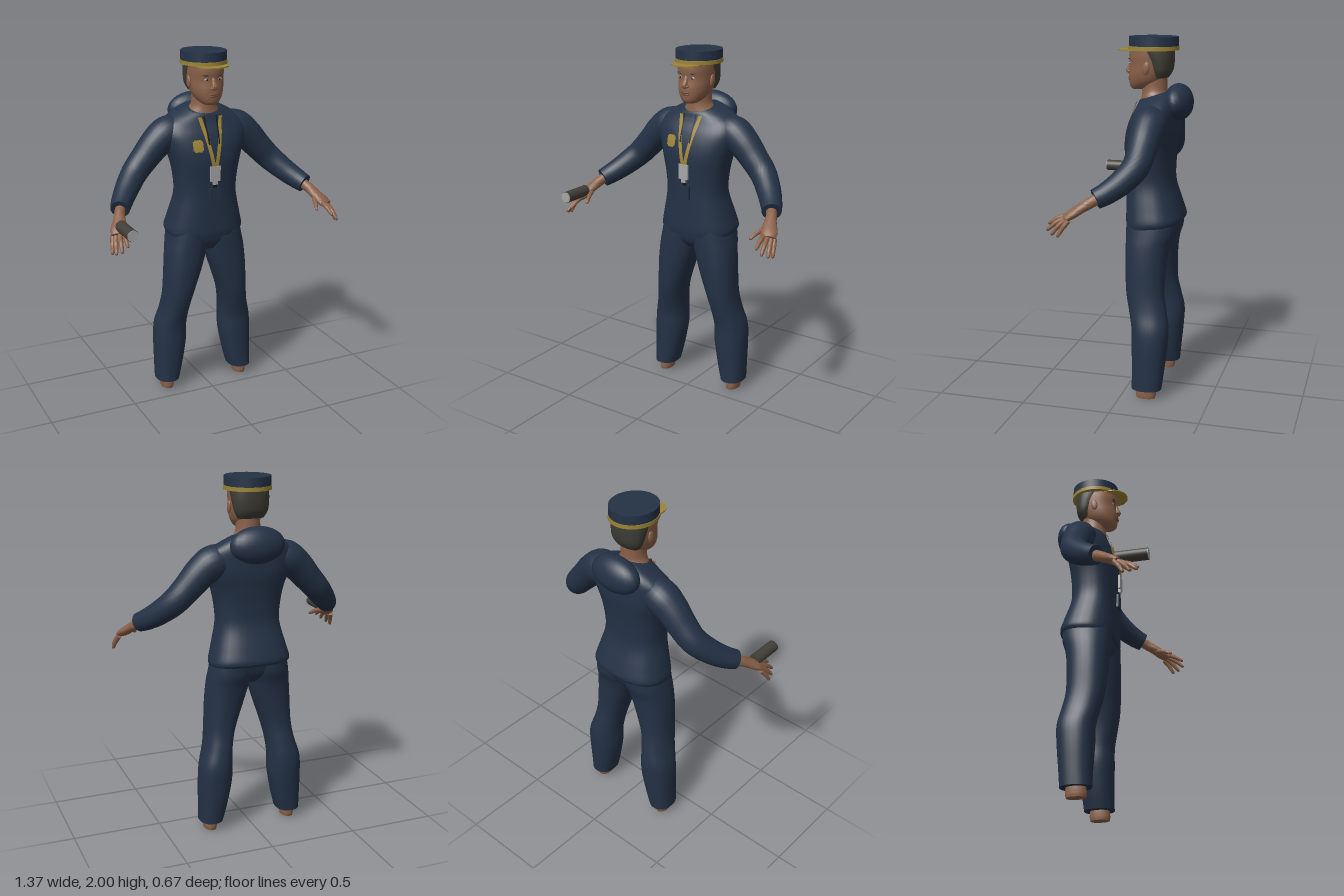
import * as THREE from 'three';
import { toCreasedNormals } from 'three/addons/utils/BufferGeometryUtils.js';

const mat = (name, color, side = THREE.FrontSide) => {
  const m = new THREE.MeshStandardMaterial({ color, side });
  m.name = name;
  return m;
};
const V = (x, y, z) => new THREE.Vector3(x, y, z);

// Smooth extra rows between the given ones (all rows equally long)
function smooth(rows, k = 5) {
  const out = [], at = i => rows[Math.min(rows.length - 1, Math.max(0, i))];
  for (let i = 0; i < rows.length - 1; i++) for (let s = 0; s < k; s++) {
    const t = s / k;
    out.push(rows[i].map((b, c) => {
      const a = at(i - 1)[c], d = at(i + 1)[c], e = at(i + 2)[c];
      return b + 0.5 * t * (d - a + t * (2 * a - 5 * b + 4 * d - e + t * (3 * (b - d) + e - a)));
    }));
  }
  out.push(rows[rows.length - 1]);
  return out;
}

// Skin over rings { c, u, v }, where u x v points along the path
function loft(rings, n = 2.3, sides = 32) {
  const pos = [], idx = [], R = rings.length;
  const sp = x => Math.sign(x) * Math.abs(x) ** (2 / n);
  for (const { c, u, v } of rings) for (let j = 0; j < sides; j++) {
    const a = j / sides * Math.PI * 2;
    pos.push(...c.clone().addScaledVector(u, sp(Math.cos(a))).addScaledVector(v, sp(Math.sin(a))).toArray());
  }
  pos.push(...rings[0].c.toArray(), ...rings[R - 1].c.toArray());
  for (let j = 0; j < sides; j++) {
    const k = (j + 1) % sides, top = (R - 1) * sides;
    for (let i = 0; i < R - 1; i++) {
      const a = i * sides + j, b = i * sides + k;
      idx.push(a, b, b + sides, a, b + sides, a + sides);
    }
    idx.push(R * sides, k, j, R * sides + 1, top + j, top + k);
  }
  const g = new THREE.BufferGeometry();
  g.setAttribute('position', new THREE.Float32BufferAttribute(pos, 3));
  g.setIndex(idx);
  return toCreasedNormals(g, 0.9);
}

// Upright body: rows of y, centre x, half width, front z, back z, backward rise
function upright(rows, n) {
  const full = rows.map(([y, cx, hw, zf, zb, rise = 0]) => [y, cx, hw, zf, zb, rise]);
  return loft(smooth(full).map(([y, cx, hw, zf, zb, rise]) => ({
    c: V(cx, y, (zf + zb) / 2), u: V(hw, 0, 0), v: V(0, rise, (zb - zf) / 2),
  })), n);
}

// Limb along a path: rows of x, y, z, radius across, radius thick
function limb(rows, k = 5, sides = 24) {
  const r = smooth(rows.map(([x, y, z, across, thick = across]) => [x, y, z, across, thick]), k);
  const p = r.map(a => V(a[0], a[1], a[2]));
  return loft(r.map((a, i) => {
    const d = p[Math.min(i + 1, p.length - 1)].clone().sub(p[Math.max(i - 1, 0)]).normalize();
    const u = V(0, 1, 0).addScaledVector(d, -d.y).normalize();
    const v = d.clone().cross(u);
    return { c: p[i], u: u.multiplyScalar(a[4]), v: v.multiplyScalar(a[3]) };
  }), 2, sides);
}

const TORSO = [
  [0.97, 0, 0.222, 0.015, -0.29, 0.015], [1.0, 0, 0.228, 0.02, -0.3, 0.01], [1.08, 0, 0.208, 0.02, -0.28, 0],
  [1.2, 0, 0.18, 0.02, -0.243, 0], [1.3, 0, 0.185, 0.024, -0.24, 0], [1.4, 0, 0.205, 0.03, -0.25, 0],
  [1.48, 0, 0.232, 0.02, -0.262, 0], [1.55, 0, 0.25, -0.002, -0.262, 0], [1.61, 0, 0.235, -0.028, -0.26, 0.01],
  [1.65, 0, 0.18, -0.04, -0.25, 0.02], [1.675, 0, 0.125, -0.045, -0.23, 0.025], [1.685, 0, 0.1, -0.05, -0.21, 0.025],
];
const HEAD = [
  [1.715, 0, 0.035, 0, -0.08], [1.73, 0, 0.055, 0.012, -0.12], [1.76, 0, 0.077, 0.017, -0.17],
  [1.8, 0, 0.09, 0.018, -0.2], [1.85, 0, 0.096, 0.012, -0.22], [1.9, 0, 0.099, 0.017, -0.225], [1.95, 0, 0.098, 0.01, -0.22],
];
// Front z of an upright body at x, y
function frontZ(rows, x, y, n) {
  const r = smooth(rows, 12);
  const i = Math.max(1, r.findIndex(a => a[0] >= y));
  const t = (y - r[i - 1][0]) / (r[i][0] - r[i - 1][0]);
  const [hw, zf, zb] = [2, 3, 4].map(c => THREE.MathUtils.lerp(r[i - 1][c], r[i][c], t));
  return (zf + zb) / 2 + (zf - zb) / 2 * (1 - Math.min(1, Math.abs(x / hw)) ** n) ** (1 / n);
}

export function createModel() {
  const model = new THREE.Group();
  const navy = mat('navy cloth', 0x243246), skin = mat('skin', 0x8a6149), gold = mat('gold', 0x9c8436, THREE.DoubleSide);
  const hairMat = mat('hair', 0x3d3c35), silver = mat('silver', 0xa6a6a6), black = mat('black', 0x15181d, THREE.DoubleSide);
  const lip = mat('lips', 0x70463a), torchMat = mat('torch body', 0x413f38);
  const add = (name, geo, m, x = 0, y = 0, z = 0) => {
    const o = new THREE.Mesh(geo, m);
    o.name = name;
    o.position.set(x, y, z);
    model.add(o);
    return o;
  };
  const ball = (name, m, x, y, z, a, b, c) => {
    const o = add(name, new THREE.SphereGeometry(1, 24, 16), m, x, y, z);
    o.scale.set(a, b, c);
    return o;
  };
  // Thin strip lying on the chest
  const strip = (name, m, x0, y0, x1, y1, w, lift = 0.006) => {
    const g = new THREE.PlaneGeometry(w, 1, 4, 14), p = g.attributes.position;
    for (let i = 0; i < p.count; i++) {
      const t = p.getY(i) + 0.5, x = p.getX(i) + x0 + (x1 - x0) * t, y = y0 + (y1 - y0) * t;
      p.setXYZ(i, x, y, frontZ(TORSO, x, y, 2.5) + lift);
    }
    g.computeVertexNormals();
    add(name, g, m);
  };

  // Jacket, hood and seat of the trousers
  add('jacket', upright(TORSO, 2.5), navy);
  ball('hood', navy, 0, 1.65, -0.262, 0.155, 0.1, 0.076).rotation.x = 0.15;
  add('trouserSeat', upright([[0.87, 0, 0.1, -0.04, -0.2], [0.92, 0, 0.19, -0.005, -0.25], [1.0, 0, 0.21, 0.008, -0.275]], 2.4), navy);

  // Neck, head and face
  add('neck', upright([[1.62, 0, 0.11, -0.05, -0.22, 0.02], [1.67, 0, 0.092, -0.05, -0.205, 0.02],
    [1.71, 0, 0.068, -0.055, -0.195], [1.8, 0, 0.066, -0.05, -0.195]], 2), skin);
  add('head', upright(HEAD, 2.2), skin);
  add('hair', upright([[1.78, 0, 0.074, -0.125, -0.2], [1.82, 0, 0.094, -0.11, -0.224],
    [1.88, 0, 0.103, -0.08, -0.232], [1.94, 0, 0.106, -0.035, -0.232]], 2.2), hairMat);
  add('noseBridge', limb([[0, 1.865, 0.006, 0.01], [0, 1.835, 0.017, 0.012], [0, 1.812, 0.025, 0.015], [0, 1.803, 0.03, 0.009]]), skin);
  ball('upperLip', lip, 0, 1.776, 0.016, 0.027, 0.006, 0.009);
  ball('lowerLip', lip, 0, 1.766, 0.014, 0.023, 0.006, 0.01);
  for (const s of [1, -1]) {
    const z = frontZ(HEAD, 0.038, 1.857, 2.2);
    ball('nostril', skin, 0.014 * s, 1.81, 0.02, 0.009, 0.008, 0.01);
    ball('eye', silver, 0.038 * s, 1.857, z - 0.002, 0.015, 0.007, 0.006);
    ball('pupil', black, 0.038 * s, 1.857, z + 0.003, 0.005, 0.006, 0.002);
    ball('eyebrow', hairMat, 0.04 * s, 1.88, z + 0.001, 0.021, 0.004, 0.006).rotation.z = 0.1 * s;
    ball('ear', skin, 0.099 * s, 1.835, -0.1, 0.01, 0.035, 0.02).rotation.x = -0.15;
  }

  // Peaked cap
  const round = (name, m, r, y0, y1) => {
    const o = add(name, new THREE.CylinderGeometry(r, r, y1 - y0, 48), m, 0, (y0 + y1) / 2, -0.118);
    o.scale.z = 1.08;
  };
  round('capCrown', navy, 0.126, 1.93, 2);
  round('capBand', gold, 0.129, 1.928, 1.95);
  const peak = new THREE.Shape([[-0.09, 0.06], [-0.086, -0.02], [-0.075, -0.045], [-0.04, -0.073], [0, -0.08],
    [0.04, -0.073], [0.075, -0.045], [0.086, -0.02], [0.09, 0.06]].map(p => new THREE.Vector2(...p)));
  add('capPeak', new THREE.ExtrudeGeometry(peak, { depth: 0.006, bevelEnabled: false }), gold, 0, 1.925, 0).rotation.x = -Math.PI / 2;

  // Lanyard, badges and pocket device
  for (const s of [1, -1]) {
    strip('lanyardStrap', gold, 0.006 * s, 1.37, 0.062 * s, 1.645, 0.022);
    strip('collarCord', black, 0.03 * s, 1.5, 0.037 * s, 1.65, 0.009, 0.009);
  }
  add('passCard', new THREE.BoxGeometry(0.06, 0.085, 0.012), silver, 0, 1.335, 0.034);
  add('cardClip', new THREE.BoxGeometry(0.028, 0.025, 0.014), silver, 0, 1.285, 0.032);
  add('pocketDevice', new THREE.BoxGeometry(0.064, 0.08, 0.02), navy, 0, 1.212, 0.022);
  strip('deviceCord', black, 0, 1.25, 0, 1.28, 0.025, 0.005);
  strip('chestBadge', gold, -0.095, 1.464, -0.095, 1.53, 0.042, 0.009);
  strip('chestBadgeMiddle', gold, -0.095, 1.472, -0.095, 1.522, 0.058, 0.008);

  // Arms, hands and legs, mirrored
  for (const s of [1, -1]) {
    const side = rows => rows.map(([x, ...rest]) => [x * s, ...rest]);
    add('sleeve', limb(side([[0.13, 1.565, -0.15, 0.08], [0.21, 1.55, -0.15, 0.095], [0.28, 1.5, -0.145, 0.088],
      [0.35, 1.425, -0.14, 0.079], [0.42, 1.35, -0.125, 0.073], [0.49, 1.28, -0.065, 0.066],
      [0.54, 1.235, -0.005, 0.059], [0.57, 1.21, 0.043, 0.053]])), navy);
    add('palm', limb(side([[0.555, 1.22, 0.02, 0.03], [0.582, 1.192, 0.066, 0.029], [0.6, 1.165, 0.11, 0.036, 0.026],
      [0.622, 1.135, 0.155, 0.044, 0.024], [0.635, 1.115, 0.185, 0.038, 0.018]])), skin);
    const fingers = [[0.608, 1.125, 0.185, 0.618, 1.078, 0.283], [0.63, 1.115, 0.19, 0.65, 1.05, 0.282],
      [0.648, 1.11, 0.18, 0.672, 1.033, 0.25], [0.657, 1.108, 0.16, 0.681, 1.025, 0.215], [0.59, 1.15, 0.12, 0.546, 1.105, 0.228]];
    for (const [a, b, c, d, e, f] of fingers)
      add('finger', limb(side([[a, b, c, 0.014], [(a + d) / 2, (b + e) / 2 + 0.006, (c + f) / 2, 0.0125],
        [d * 0.9 + a * 0.1, e * 0.9 + b * 0.1, f * 0.9 + c * 0.1, 0.009], [d, e, f, 0.004]]), 4, 12), skin);
    // Rows of y, outer x, inner x, front z, back z
    const leg = [[0.055, 0.305, 0.17, -0.06, -0.23], [0.15, 0.306, 0.145, -0.06, -0.24], [0.3, 0.306, 0.118, -0.055, -0.256],
      [0.4, 0.298, 0.117, -0.053, -0.26], [0.5, 0.27, 0.108, -0.032, -0.243], [0.6, 0.256, 0.085, -0.012, -0.226],
      [0.75, 0.248, 0.035, 0, -0.23], [0.86, 0.238, 0.002, 0.003, -0.245], [0.93, 0.226, -0.015, 0.005, -0.268], [1.0, 0.212, -0.02, 0.005, -0.275]];
    add('trouserLeg', upright(leg.map(([y, o, i, f, b]) => [y, s * (o + i) / 2, (o - i) / 2, f, b]), 2.3), navy);
    add('foot', upright([[0, s * 0.24, 0.034, -0.088, -0.195], [0.03, s * 0.24, 0.037, -0.085, -0.2],
      [0.1, s * 0.24, 0.035, -0.1, -0.19]], 2.2), skin);
  }

  // Torch in the right hand
  const tube = (name, m, r, z0, z1) => {
    add(name, new THREE.CylinderGeometry(r, r, z1 - z0, 28), m, -0.61, 1.155, (z0 + z1) / 2).rotation.x = Math.PI / 2;
  };
  tube('torchBody', torchMat, 0.032, 0.16, 0.332);
  tube('torchLens', silver, 0.03, 0.33, 0.335);
  return model;
}
